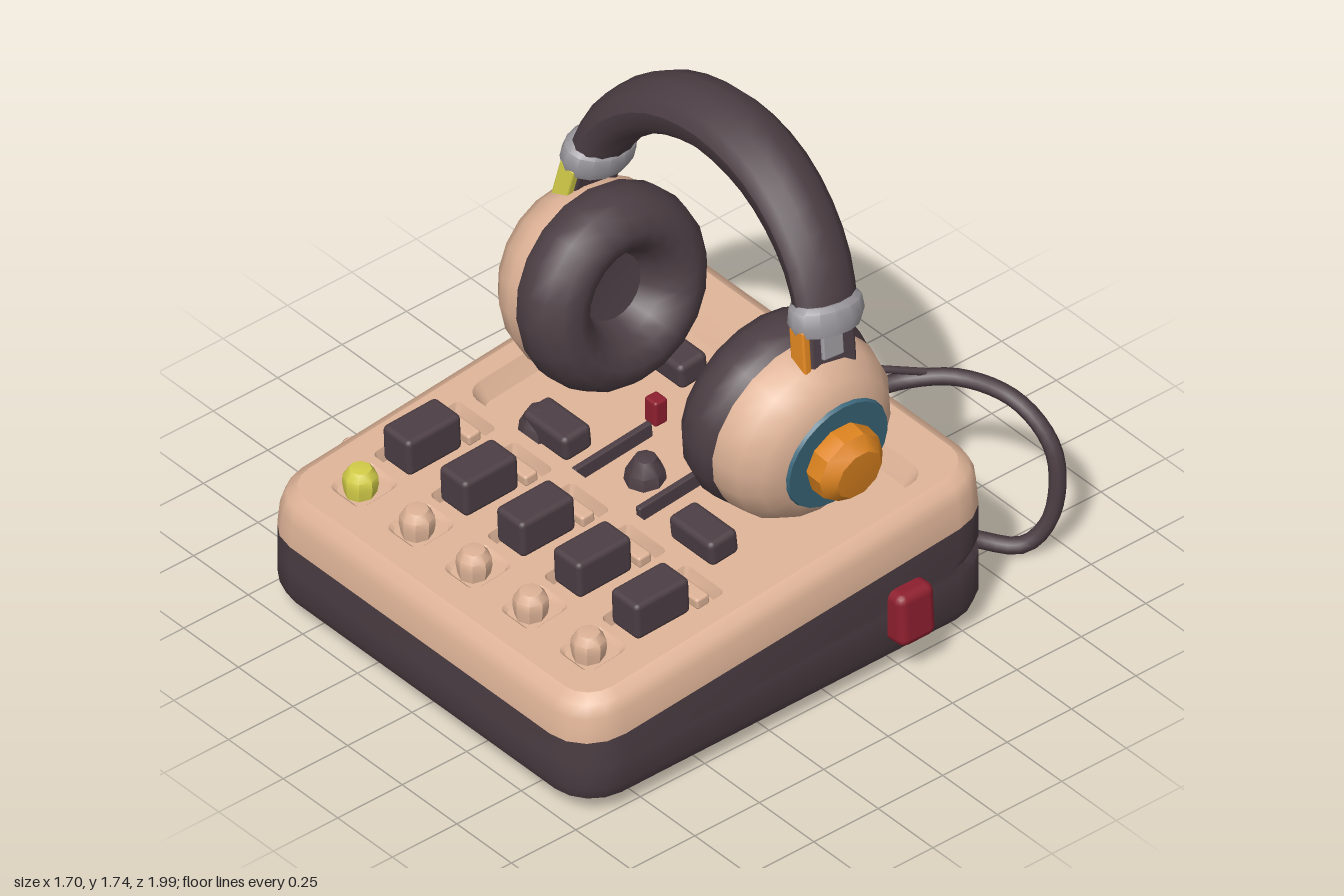
import * as THREE from 'three';
import { toCreasedNormals } from 'three/addons/utils/BufferGeometryUtils.js';
import { RoundedBoxGeometry } from 'three/addons/geometries/RoundedBoxGeometry.js';

const mat = (name, color) => {
  const m = new THREE.MeshStandardMaterial({ color });
  m.name = name;
  return m;
};

const deckY = z => 0.523 - 0.103 * z;   // sloping top surface
const seamY = z => 0.372 - 0.093 * z;   // line between the two shells
const slope = 0.103;

// Rounded rectangle as [x, z] points
function ring(x0, x1, z0, z1, r, n = 4) {
  const pts = [];
  [[x1 - r, z0 + r], [x0 + r, z0 + r], [x0 + r, z1 - r], [x1 - r, z1 - r]].forEach(([cx, cz], k) => {
    for (let i = 0; i <= n; i++) {
      const a = (k + i / n) * Math.PI / 2;
      pts.push([cx + r * Math.cos(a), cz - r * Math.sin(a)]);
    }
  });
  return pts;
}

// Skin a stack of rings; each level is { pts, y(z) }
function loft(levels, capStart, capEnd, crease = 0.6) {
  const pos = [], idx = [], n = levels[0].pts.length;
  levels.forEach(l => l.pts.forEach(([x, z]) => pos.push(x, l.y(z), z)));
  for (let k = 0; k < levels.length - 1; k++) {
    for (let i = 0; i < n; i++) {
      const a = k * n + i, b = k * n + (i + 1) % n;
      idx.push(a, b, b + n, a, b + n, a + n);
    }
  }
  const cap = (k, flip) => {
    const l = levels[k], c = pos.length / 3;
    const cx = l.pts.reduce((s, p) => s + p[0], 0) / n, cz = l.pts.reduce((s, p) => s + p[1], 0) / n;
    pos.push(cx, l.y(cz), cz);
    for (let i = 0; i < n; i++) {
      const a = k * n + i, b = k * n + (i + 1) % n;
      idx.push(c, flip ? b : a, flip ? a : b);
    }
  };
  if (capStart) cap(0, true);
  if (capEnd) cap(levels.length - 1, false);
  const g = new THREE.BufferGeometry();
  g.setAttribute('position', new THREE.Float32BufferAttribute(pos, 3));
  g.setIndex(idx);
  return toCreasedNormals(g, crease);
}

const lathe = (pts, seg, crease = 0.7) =>
  toCreasedNormals(new THREE.LatheGeometry(pts.map(p => new THREE.Vector2(...p)), seg), crease);

export function createModel() {
  const root = new THREE.Group();
  const beige = mat('beige plastic', 0xddb296), dark = mat('dark plum', 0x4c3e44);
  const orange = mat('orange', 0xdd8420), teal = mat('teal', 0x3d6a7e);
  const red = mat('red', 0x8e1f2f), grey = mat('grey metal', 0x9b989d), yellow = mat('yellow', 0xd3cd48);

  const add = (name, geo, m, x = 0, y = 0, z = 0, parent = root) => {
    const mesh = new THREE.Mesh(geo, m);
    mesh.name = name;
    mesh.position.set(x, y, z);
    parent.add(mesh);
    return mesh;
  };
  const rbox = (w, h, d, r) => new RoundedBoxGeometry(w, h, d, 2, r);

  // Console shells
  const body = (inset, y, back = 0) =>
    ({ pts: ring(-0.725 + inset, 0.785 - inset, -0.62 + inset + back, 0.995 - inset, 0.16 - inset), y });
  const between = (f, b) => z => f + (b - f) * (1 - z) / 1.62;
  add('lowerShell', loft([
    body(0.07, () => 0.045), body(0.02, () => 0.065), body(0, () => 0.11),
    body(0, between(0.19, 0.25)), body(0, between(0.205, 0.28), 0.035), body(0, between(0.22, 0.31)),
    body(0, seamY)], true, true), dark);
  add('upperShell', loft([
    body(0, seamY), body(0.008, z => deckY(z) - 0.06), body(0.025, z => deckY(z) - 0.02), body(0.06, deckY)],
  false, false, 0.9), beige);

  // Deck plate with pockets for the cradle, keys and small knobs
  const columns = [-0.49, -0.23, 0.03, 0.29, 0.555];
  const pockets = [{ b: [-0.6, 0.67, -0.43, 0.29, 0.06], depth: 0.06, inset: 0.035 }];
  columns.forEach(x => {
    pockets.push({ b: [x - 0.09, x + 0.09, 0.33, 0.665, 0.02], depth: 0.045, inset: 0.012 });
    pockets.push({ b: [x - 0.075, x + 0.075, 0.69, 0.85, 0.03], depth: 0.015, inset: 0.015 });
  });
  const toV2 = pts => pts.map(([x, z]) => new THREE.Vector2(x, -z));
  const plate = new THREE.Shape(toV2(body(0.06, deckY).pts));
  pockets.forEach(p => plate.holes.push(new THREE.Path(toV2(ring(...p.b)))));
  const plateGeo = new THREE.ShapeGeometry(plate).rotateX(-Math.PI / 2);
  const pp = plateGeo.attributes.position;
  for (let i = 0; i < pp.count; i++) pp.setY(i, deckY(pp.getZ(i)));
  plateGeo.computeVertexNormals();
  add('deckPlate', plateGeo, beige);
  pockets.forEach(({ b: [x0, x1, z0, z1, r], depth, inset: d }) => {
    add('deckPocket', loft([
      { pts: ring(x0, x1, z0, z1, r), y: deckY },
      { pts: ring(x0 + d, x1 - d, z0 + d, z1 - d, r * 0.6), y: z => deckY(z) - depth }], false, true), beige);
  });

  // Keys and small knobs
  const knobGeo = lathe([[0.045, -0.04], [0.055, 0.02], [0.053, 0.05], [0.035, 0.075], [0, 0.08]], 8);
  columns.forEach((x, i) => {
    add('key', rbox(0.125, 0.13, 0.21, 0.018), dark, x, 0.512, 0.545).rotation.x = 0.04;
    add('keyHinge', rbox(0.11, 0.04, 0.05, 0.01), beige, x, deckY(0.385) - 0.025, 0.385).rotation.x = slope;
    add('smallKnob', knobGeo, i ? beige : yellow, x, 0.44, 0.785);
  });

  // Cradle details
  [[0.16, -0.07, 0.66], [-0.11, 0.13, 0.3]].forEach(([x, z, len]) => {
    add('cradleDivider', rbox(0.022, 0.06, len, 0.006), dark, x, deckY(z) - 0.04, z).rotation.x = slope;
  });
  add('redSwitch', rbox(0.055, 0.09, 0.05, 0.01), red, -0.11, 0.548, -0.04);
  const dialGeo = lathe([[0.065, -0.01], [0.06, 0.03], [0.035, 0.075], [0, 0.085]], 8);
  [[0.03, 0.12], [-0.36, 0.2]].forEach(([x, z]) => add('cradleDial', dialGeo, dark, x, deckY(z) - 0.055, z));
  for (const x of [-0.29, 0.38]) {
    for (const z of [-0.26, 0.19]) {
      add('cupRest', rbox(0.2, 0.09, 0.11, 0.02), dark, x, deckY(z) - 0.02, z).rotation.x = slope;
    }
  }

  // Side buttons, peg and feet
  for (const [x, s] of [[-0.725, -1], [0.79, 1]]) {
    add('sideButton', rbox(0.12, 0.185, 0.14, 0.03), red, x, 0.225, -0.25).rotation.z = s * 0.06;
  }
  const peg = add('sidePeg', lathe([[0.035, -0.06], [0.04, 0.05], [0.05, 0.06], [0.03, 0.12], [0, 0.13]], 8),
    beige, -0.73, 0.235, 0.545);
  peg.rotation.z = 1.05;
  const footGeo = new THREE.CylinderGeometry(0.11, 0.07, 0.07, 10);
  for (const x of [-0.52, 0.55]) for (const z of [-0.4, 0.77]) add('foot', footGeo, dark, x, 0.035, z);

  // Cables
  const cable = (name, pts, r) => {
    const curve = new THREE.CatmullRomCurve3(pts.map(p => new THREE.Vector3(...p)));
    add(name, new THREE.TubeGeometry(curve, 40, r, 8), dark);
  };
  cable('loopCable', [[0.15, 0.48, -0.58], [0.2, 0.49, -0.74], [0.32, 0.51, -0.86], [0.5, 0.49, -0.93],
    [0.62, 0.36, -0.965], [0.63, 0.13, -0.945], [0.58, 0.03, -0.88], [0.47, 0.045, -0.77], [0.41, 0.14, -0.59]], 0.027);
  cable('deckCable', [[-0.17, 0.55, -0.39], [-0.03, 0.575, -0.44], [0.1, 0.585, -0.53], [0.18, 0.565, -0.65],
    [0.24, 0.52, -0.79]], 0.012);

  // Headphones, mirrored about their own middle
  const phones = new THREE.Group();
  phones.name = 'headphones';
  phones.position.x = 0.047;
  root.add(phones);

  const padGeo = lathe([[0, -0.07], [0.11, -0.08], [0.14, -0.14], [0.175, -0.185], [0.225, -0.205], [0.28, -0.185],
    [0.315, -0.14], [0.33, -0.08], [0.325, -0.03], [0.3, 0.01]], 20, 1);
  const housingGeo = lathe([[0.31, -0.01], [0.312, 0.03], [0.295, 0.09], [0.25, 0.15], [0.19, 0.185], [0, 0.19]], 20, 0.8);
  const ringGeo = new THREE.CylinderGeometry(0.19, 0.195, 0.012, 24);
  const capGeo = lathe([[0.11, 0.17], [0.125, 0.21], [0.122, 0.26], [0.085, 0.3], [0, 0.305]], 10, 0.5);
  const collarGeo = lathe([[0.06, -0.05], [0.085, -0.045], [0.095, -0.01], [0.09, 0.035], [0.075, 0.05], [0.05, 0.05]], 14);
  collarGeo.scale(0.95, 1, 1.38);

  for (const s of [-1, 1]) {
    const cup = new THREE.Group();
    cup.name = s < 0 ? 'rightCup' : 'leftCup';
    cup.position.set(s * 0.455, 0.86, -0.055);
    cup.rotation.z = -s * (Math.PI / 2 + 0.12);
    phones.add(cup);
    add('earPad', padGeo, dark, 0, 0, 0, cup);
    add('cupHousing', housingGeo, beige, 0, 0, 0, cup);
    add('cupRing', ringGeo, teal, 0, 0.19, -0.01, cup);
    add('cupKnob', capGeo, orange, 0, 0, -0.005, cup);

    const arm = new THREE.Group();
    arm.name = 'bandArm';
    arm.position.set(s * 0.52, 1.265, -0.125);
    arm.rotation.set(-0.1, 0, s * 0.2);
    phones.add(arm);
    add('collar', collarGeo, grey, 0, 0, 0, arm);
    add('stem', rbox(0.07, 0.22, 0.18, 0.015), dark, 0, -0.11, 0.005, arm);
    add('stemStrip', rbox(0.065, 0.18, 0.03, 0.008), s < 0 ? yellow : orange, 0, -0.11, 0.105, arm);
    add('stemTab', rbox(0.02, 0.09, 0.08, 0.006), grey, s * 0.037, -0.085, 0.015, arm);
  }

  // Headband: a tube widened front to back and thinned toward its ends
  const half = [[0.52, 0], [0.475, 0.11], [0.37, 0.235], [0.21, 0.335]];
  const bandPts = [...half.map(([x, y]) => [-x, y]), [0, 0.375], ...half.slice().reverse()];
  const bandCurve = new THREE.CatmullRomCurve3(bandPts.map(([x, y]) => new THREE.Vector3(x, y, 0)));
  const segs = 18, sides = 12;
  const bandGeo = new THREE.TubeGeometry(bandCurve, segs, 0.1, sides);
  const bp = bandGeo.attributes.position;
  const v = new THREE.Vector3();
  for (let i = 0; i < bp.count; i++) {
    const t = Math.floor(i / (sides + 1)) / segs;
    const c = bandCurve.getPointAt(t), k = 0.7 + 0.3 * Math.sin(Math.PI * t);
    v.fromBufferAttribute(bp, i).sub(c);
    bp.setXYZ(i, c.x + v.x * k, c.y + v.y * k, c.z + v.z * (0.55 + 0.45 * k) * 1.25);
  }
  bandGeo.computeVertexNormals();
  add('headband', bandGeo, dark, 0, 1.262, -0.125, phones).rotation.x = -0.15;

  return root;
}
